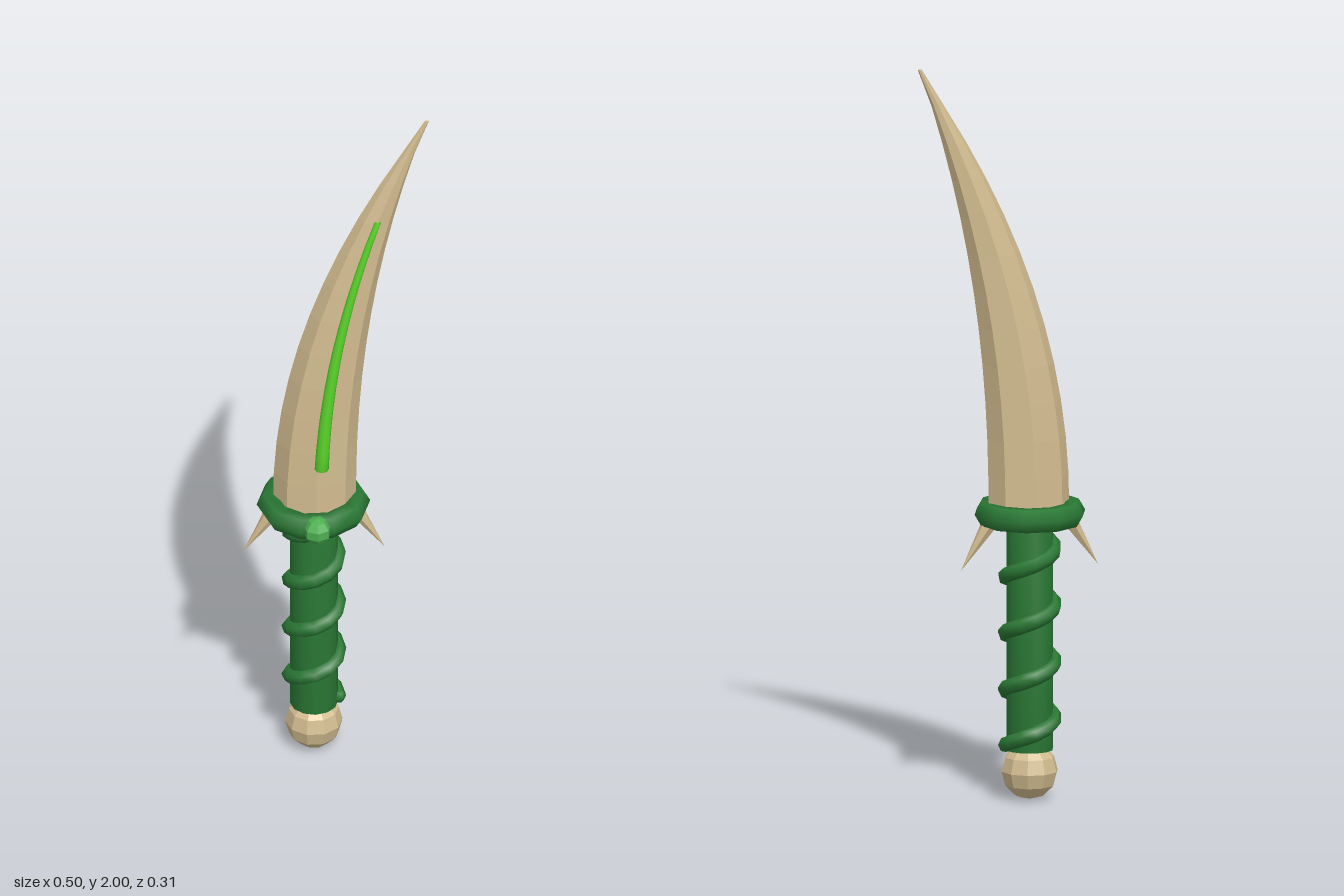
import * as THREE from 'three';
import { mergeVertices } from 'three/addons/utils/BufferGeometryUtils.js';

const CX = -0.06, CZ = -0.015; // handle axis

function paint(name, color) {
  const m = new THREE.MeshStandardMaterial({ color });
  m.name = name;
  return m;
}

// Faceted normals
function facet(geo) {
  const g = geo.index ? geo.toNonIndexed() : geo;
  g.computeVertexNormals();
  return g;
}

// Closed loft through horizontal elliptical rings; ring(t) gives centre and radii
function loft(ring, steps, sides) {
  const pos = [], idx = [];
  for (let i = 0; i <= steps; i++) {
    const r = ring(i / steps);
    for (let j = 0; j < sides; j++) {
      const a = (j / sides) * Math.PI * 2;
      pos.push(r.x + r.rx * Math.cos(a), r.y, r.z + r.rz * Math.sin(a));
    }
  }
  const low = ring(0), high = ring(1);
  pos.push(low.x, low.y, low.z, high.x, high.y, high.z);
  const c0 = (steps + 1) * sides, top = steps * sides;
  for (let j = 0; j < sides; j++) {
    const k = (j + 1) % sides;
    for (let i = 0; i < steps; i++) {
      const a = i * sides + j, b = i * sides + k;
      idx.push(a, a + sides, b, b, a + sides, b + sides);
    }
    idx.push(c0, j, k, c0 + 1, top + k, top + j);
  }
  const g = new THREE.BufferGeometry();
  g.setAttribute('position', new THREE.Float32BufferAttribute(pos, 3));
  g.setIndex(idx);
  return g;
}

// Curved blade section at height y
function bladeAt(y) {
  const s = Math.max(0, (y - 0.8) / 1.2);
  const f = Math.max(0.05, 1 - Math.pow(s, 1.9));
  return { x: -0.058 + 0.3 * Math.pow(s, 2.05), y, z: CZ, rx: 0.111 * f, rz: 0.08 * f };
}

// Spiral vine path
class Helix extends THREE.Curve {
  getPoint(t, target = new THREE.Vector3()) {
    const a = -t * Math.PI * 8;
    return target.set(CX + 0.066 * Math.cos(a), 0.15 + 0.615 * t, CZ + 0.066 * Math.sin(a));
  }
}

export function createModel() {
  const group = new THREE.Group();
  const bone = paint('bone', 0xd2bc90);
  const green = paint('vine green', 0x2a7835);
  const budGreen = paint('bud green', 0x4caf50);
  const glow = paint('bright green', 0x5ad52a);

  function add(name, geo, mat, x = 0, y = 0, z = 0) {
    const m = new THREE.Mesh(geo, mat);
    m.name = name;
    m.position.set(x, y, z);
    group.add(m);
    return m;
  }

  // Blade and the rounded vein along its front ridge
  add('blade', facet(loft(t => bladeAt(0.78 + 1.22 * t), 12, 8)), bone);
  const vein = mergeVertices(loft(t => {
    const b = bladeAt(0.94 + 0.76 * t);
    const r = 0.019 - 0.01 * t;
    return { x: b.x + 0.01 * (1 - t), y: b.y, z: CZ + b.rz, rx: r, rz: r };
  }, 12, 8));
  vein.computeVertexNormals();
  add('bladeVein', vein, glow);

  // Guard ring with bud
  const ring = new THREE.TorusGeometry(0.117, 0.035, 6, 10);
  ring.rotateX(Math.PI / 2);
  add('guard', ring, green, CX - 0.001, 0.78, CZ);
  const bud = new THREE.SphereGeometry(0.039, 7, 5);
  bud.rotateY(Math.PI / 2);
  add('bud', facet(bud), budGreen, CX, 0.78, 0.118);

  // Thorns under the guard
  for (const side of [-1, 1]) {
    const base = new THREE.Vector3(CX + side * 0.095, 0.78, CZ);
    const tip = new THREE.Vector3(CX + side * 0.189, 0.629, CZ);
    const dir = tip.clone().sub(base);
    const thorn = add(side < 0 ? 'rightThorn' : 'leftThorn',
      facet(new THREE.ConeGeometry(0.026, dir.length(), 6)), bone);
    thorn.position.copy(base).add(tip).multiplyScalar(0.5);
    thorn.quaternion.setFromUnitVectors(new THREE.Vector3(0, 1, 0), dir.normalize());
  }

  // Handle, wrapped vine and pommel
  const profile = [[0, 0.135], [0.064, 0.135], [0.064, 0.78], [0, 0.78]]
    .map(([r, y]) => new THREE.Vector2(r, y));
  add('handle', new THREE.LatheGeometry(profile, 12), green, CX, 0, CZ);
  add('handleVine', new THREE.TubeGeometry(new Helix(), 48, 0.021, 6, false), green);
  for (const [t, name] of [[0, 'vineLowerEnd'], [1, 'vineUpperEnd']]) {
    const p = new Helix().getPoint(t);
    add(name, new THREE.SphereGeometry(0.02, 6, 4), green, p.x, p.y, p.z);
  }
  add('pommel', facet(new THREE.SphereGeometry(0.077, 10, 6)), bone, CX, 0.077, CZ);

  return group;
}
